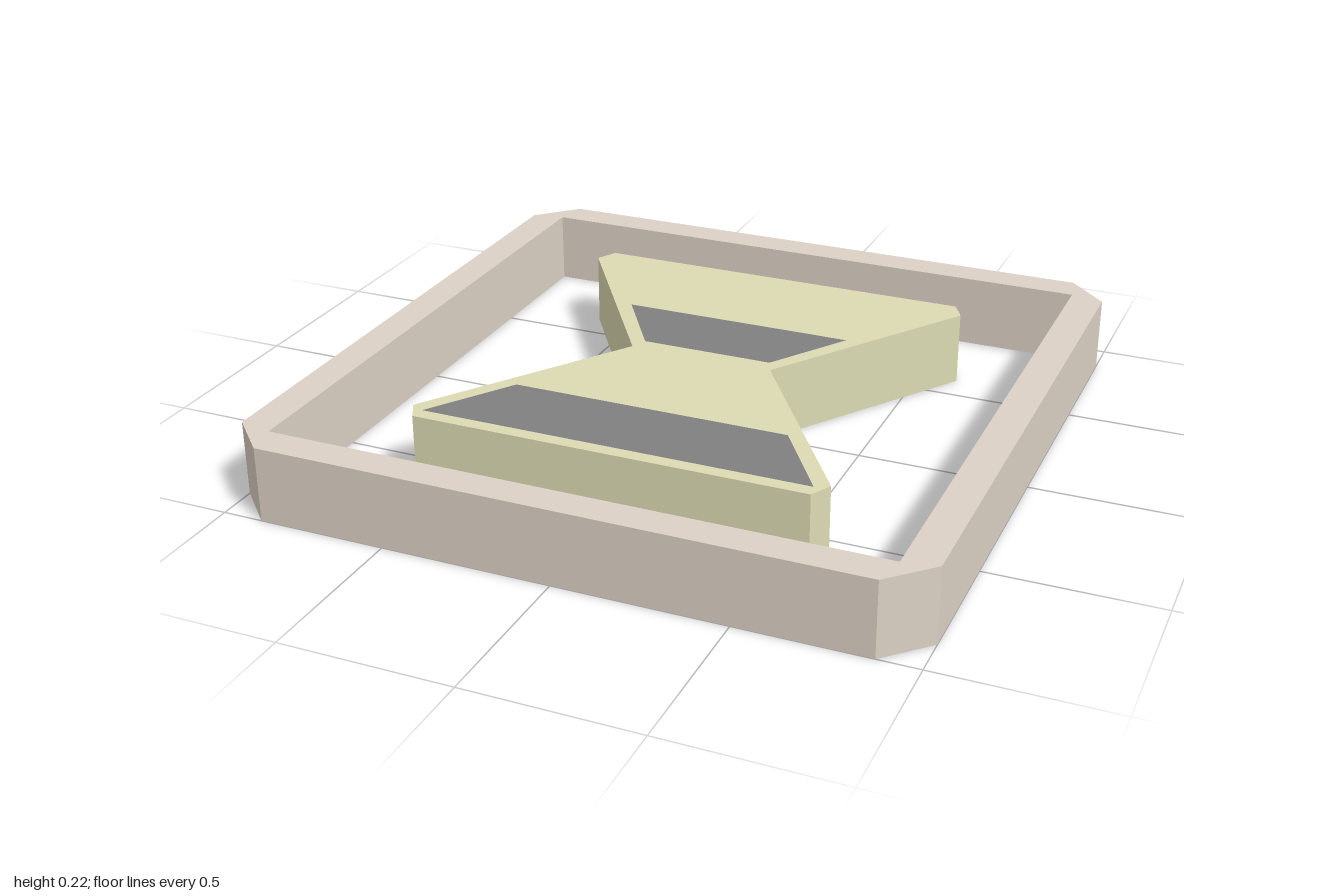
import * as THREE from 'three';

const H = 0.223; // height of both rims

const flat = (name, color) => {
  const m = new THREE.MeshStandardMaterial({ color, side: THREE.DoubleSide, flatShading: true });
  m.name = name;
  return m;
};

// Outlines are [x, z] points, counter-clockwise seen from above
const toVectors = (pts) => pts.map(([x, z]) => new THREE.Vector2(x, -z));

// Flat horizontal plate at the top height, with optional holes
function plate(outline, holes = []) {
  const shape = new THREE.Shape(toVectors(outline));
  for (const h of holes) shape.holes.push(new THREE.Path(toVectors(h)));
  return new THREE.ShapeGeometry(shape).rotateX(-Math.PI / 2).translate(0, H, 0);
}

// Upright band of walls following an outline, open above and below
function walls(outline) {
  const pos = [];
  outline.forEach(([ax, az], i) => {
    const [bx, bz] = outline[(i + 1) % outline.length];
    pos.push(ax, 0, az, bx, 0, bz, bx, H, bz, ax, 0, az, bx, H, bz, ax, H, az);
  });
  const g = new THREE.BufferGeometry();
  g.setAttribute('position', new THREE.Float32BufferAttribute(pos, 3));
  g.computeVertexNormals();
  return g;
}

// Mirror the right-hand points (front to back) across x = 0
const mirrored = (right) => [...right, ...right.map(([x, z]) => [-x, z]).reverse()];

export function createModel() {
  const stone = flat('warm grey', 0xdcd1c5);
  const pale = flat('pale olive', 0xdcdab2);
  const dark = flat('dark grey', 0x808080);

  const model = new THREE.Group();
  const add = (parent, name, geometry, material) => {
    const mesh = new THREE.Mesh(geometry, material);
    mesh.name = name;
    parent.add(mesh);
  };

  // Hollow square border with cut outer corners, open underneath
  const border = new THREE.Group();
  border.name = 'border';
  const outer = mirrored([[0.88, 1], [1, 0.88], [1, -0.88], [0.88, -1]]);
  const inner = mirrored([[0.9, 0.9], [0.9, -0.9]]);
  add(border, 'borderTop', plate(outer, [inner]), stone);
  add(border, 'borderOuterWalls', walls(outer), stone);
  add(border, 'borderInnerWalls', walls([...inner].reverse()), stone);

  // Hollow hourglass block with two dark panels set flush in its top
  const hourglass = new THREE.Group();
  hourglass.name = 'hourglass';
  const body = mirrored([[0.587, 0.665], [0.62, 0.602], [0.22, 0], [0.62, -0.602], [0.587, -0.665]]);
  const frontPanel = mirrored([[0.58, 0.623], [0.415, 0.372]]);
  const backPanel = mirrored([[0.2, -0.048], [0.355, -0.288]]);
  add(hourglass, 'hourglassTop', plate(body, [frontPanel, backPanel]), pale);
  add(hourglass, 'hourglassWalls', walls(body), pale);
  add(hourglass, 'frontPanel', plate(frontPanel), dark);
  add(hourglass, 'backPanel', plate(backPanel), dark);

  model.add(border, hourglass);
  return model;
}
